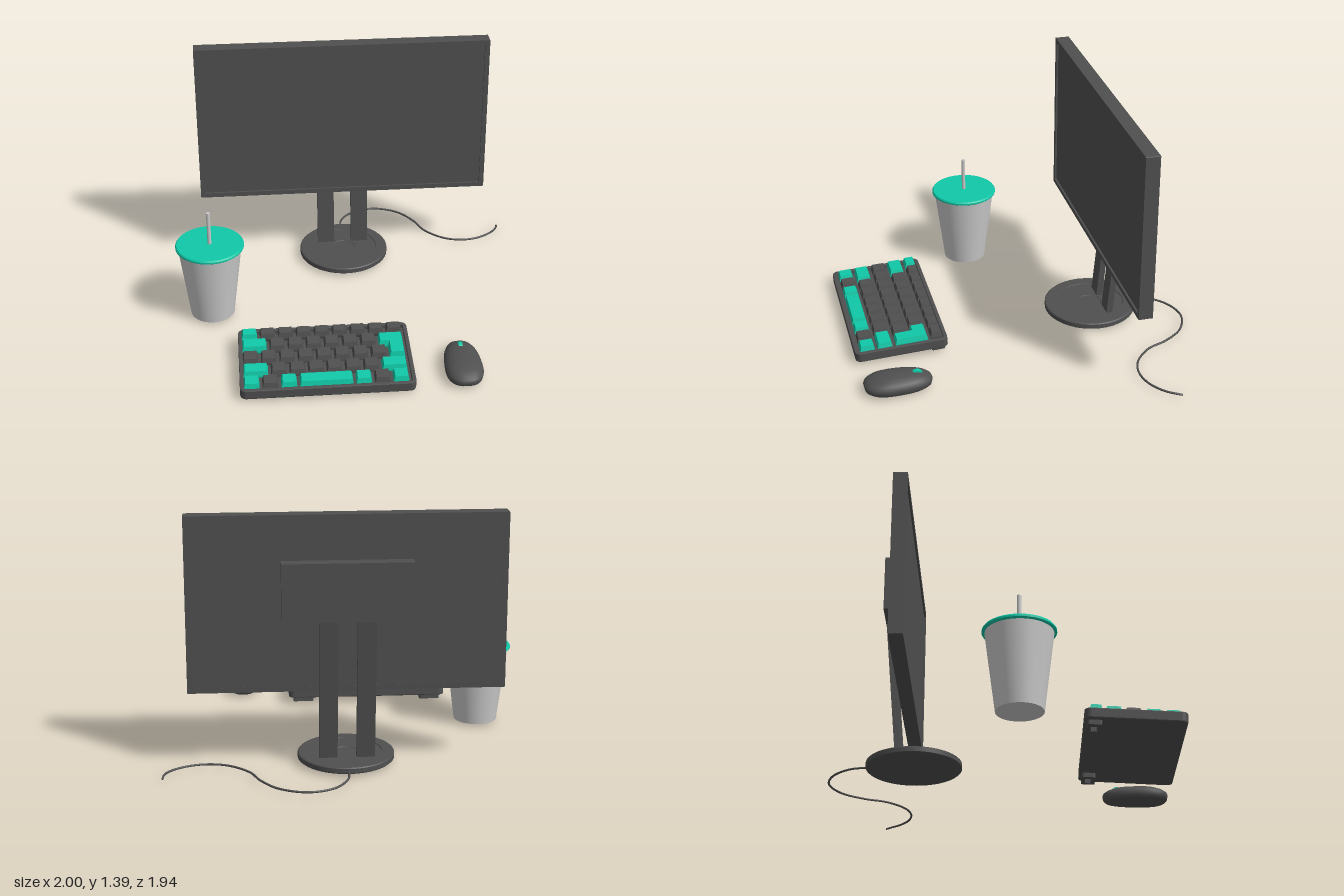
import * as THREE from 'three';
import { toCreasedNormals } from 'three/addons/utils/BufferGeometryUtils.js';

const grey = new THREE.MeshStandardMaterial({ color: 0xcccccc });
const dark = new THREE.MeshStandardMaterial({ color: 0x505050 });
const teal = new THREE.MeshStandardMaterial({ color: 0x10c9a8 });
const FLOOR = 0.016;

function add(parent, name, geometry, material, x = 0, y = 0, z = 0) {
  const mesh = new THREE.Mesh(geometry, material);
  mesh.name = name;
  mesh.position.set(x, y, z);
  parent.add(mesh);
  return mesh;
}

function lathe(points, segments = 64) {
  const profile = points.map(([r, y]) => new THREE.Vector2(r, y));
  return toCreasedNormals(new THREE.LatheGeometry(profile, segments), 0.5);
}

// Rectangle with rounded corners, centred on the origin
function roundedRect(w, h, r, Type = THREE.Shape) {
  const s = new Type();
  const x = w / 2 - r, y = h / 2 - r;
  s.absarc(x, y, r, 0, Math.PI / 2);
  s.absarc(-x, y, r, Math.PI / 2, Math.PI);
  s.absarc(-x, -y, r, Math.PI, Math.PI * 1.5);
  s.absarc(x, -y, r, Math.PI * 1.5, Math.PI * 2);
  s.closePath();
  return s;
}

// Extrude a plan shape (x, -z) upwards
function extrudeUp(shape, height, bevel = 0) {
  return new THREE.ExtrudeGeometry(shape, {
    depth: height - 2 * bevel, bevelEnabled: bevel > 0, bevelThickness: bevel,
    bevelSize: bevel, bevelOffset: -bevel, bevelSegments: 2, curveSegments: 6,
  }).translate(0, 0, bevel).rotateX(-Math.PI / 2);
}

function createMonitor() {
  const g = new THREE.Group();
  g.name = 'monitor';
  // Bezel with a recessed screen
  const frame = roundedRect(1.71, 0.965, 0.004);
  frame.holes.push(roundedRect(1.655, 0.91, 0.002, THREE.Path));
  add(g, 'bezel', new THREE.ExtrudeGeometry(frame, { depth: 0.08, bevelEnabled: false }), dark, 0, 0.9125, -0.565);
  add(g, 'screen', new THREE.BoxGeometry(1.66, 0.915, 0.068), dark, 0, 0.9125, -0.53);
  add(g, 'rearHousing', new THREE.BoxGeometry(0.7, 0.32, 0.08), dark, 0, 0.99, -0.6);
  // Two leaning legs
  for (const side of [-1, 1]) {
    const leg = new THREE.BoxGeometry(0.1, 0.8, 0.036).translate(0, 0.4, 0);
    const p = leg.attributes.position;
    for (let i = 0; i < p.count; i++) p.setZ(i, p.getZ(i) - 0.086 * p.getY(i));
    leg.computeVertexNormals();
    add(g, side > 0 ? 'leftLeg' : 'rightLeg', leg, dark, side * 0.102, 0.04, -0.552);
  }
  // Round foot with a shallow dish
  add(g, 'standBase', lathe([[0, 0], [0.258, 0], [0.265, 0.006], [0.265, 0.031], [0.26, 0.036], [0.2, 0.036],
    [0.198, 0.032], [0.07, 0.032], [0.068, 0.029], [0, 0.029]]), dark, 0, FLOOR, -0.475);
  // Cable trailing from the foot
  const path = [[0, 0.03, -0.72], [0.015, 0.024, -0.83], [0.09, 0.017, -0.925], [0.23, 0.016, -0.968],
    [0.38, 0.016, -0.91], [0.475, 0.016, -0.79], [0.53, 0.016, -0.67], [0.64, 0.016, -0.57],
    [0.75, 0.016, -0.54], [0.86, 0.016, -0.56], [0.95, 0.016, -0.62], [0.985, 0.014, -0.67], [0.993, 0.006, -0.705]];
  const curve = new THREE.CatmullRomCurve3(path.map((p) => new THREE.Vector3(...p)));
  add(g, 'cable', new THREE.TubeGeometry(curve, 120, 0.006, 8), dark);
  add(g, 'cableEnd', new THREE.SphereGeometry(0.006, 8, 6), dark, ...path.at(-1));
  return g;
}

// Tapered keycap from plan corners [x, z]; its lower half is sunk in the case
function keycap(corners, top) {
  const shape = new THREE.Shape(corners.map(([x, z]) => new THREE.Vector2(x, -z)));
  return new THREE.ExtrudeGeometry(shape, {
    depth: 0.01, bevelThickness: 0.03, bevelSize: 0.008, bevelOffset: -0.008, bevelSegments: 1,
  }).rotateX(-Math.PI / 2).translate(0, top - 0.04, 0);
}

function createKeyboard() {
  const g = new THREE.Group();
  g.name = 'keyboard';
  const w = 0.945, d = 0.53, cx = -0.195, front = 0.965, cz = front - d / 2;
  add(g, 'caseBottom', extrudeUp(roundedRect(w, d, 0.035), 0.035, 0.006), dark, cx, 0, -d / 2);
  const rim = roundedRect(w, d, 0.035);
  rim.holes.push(roundedRect(w - 0.045, d - 0.045, 0.01, THREE.Path));
  add(g, 'caseRim', extrudeUp(rim, 0.036, 0.004), dark, cx, 0.02, -d / 2);

  // Each row: near and far z, key top height, then [kind, width in units, colour]
  const T = teal, D = dark;
  const dots = (n) => Array(n).fill([1, D]);
  const rows = [
    [0.46, 0.527, 0.086, [[1, T], ...dots(8)]],
    [0.543, 0.628, 0.08, [[1.5, T], ...dots(6)]],
    [0.643, 0.728, 0.076, dots(8)],
    [0.748, 0.832, 0.074, [[1.5, T], ...dots(6), [1.5, T]]],
    [0.848, 0.932, 0.073, [[1, T], [1, D], [1, T], [3, T], [1, T], [1, D], [1, T]]],
  ];
  const pitch = 0.1005, gap = 0.016, left = -0.647;
  for (const [z0, z1, top, keys] of rows) {
    let x = left;
    for (const [units, material] of keys) {
      const a = x, b = x + units * pitch - gap;
      add(g, 'key', keycap([[a, z1], [b, z1], [b, z0], [a, z0]], top), material, 0, 0, -front);
      x += units * pitch;
    }
  }
  // L-shaped key spanning the second and third rows
  const r = left + 9 * pitch - gap, l = r - 1.5 * pitch + gap, m = r - pitch + gap;
  add(g, 'cornerKey', keycap([[m, 0.728], [r, 0.728], [r, 0.543], [l, 0.543], [l, 0.628], [m, 0.628]], 0.079),
    teal, 0, 0, -front);

  // Hollow rear feet
  for (const side of [-1, 1]) {
    const foot = roundedRect(0.12, 0.075, 0.01);
    foot.holes.push(roundedRect(0.08, 0.035, 0.006, THREE.Path));
    add(g, side > 0 ? 'leftFoot' : 'rightFoot', extrudeUp(foot, 0.032), dark,
      cx + side * 0.385, -0.026, 0.49 - front);
  }
  g.position.set(0, FLOOR, cz + d / 2);
  g.rotation.x = 0.055;
  return g;
}

function createMouse() {
  const g = new THREE.Group();
  g.name = 'mouse';
  // Stacked outlines: [scale, height], narrower towards the front
  const levels = [[0.001, 0], [0.9, 0], [0.97, 0.01], [1, 0.034], [0.97, 0.046], [0.87, 0.06],
    [0.7, 0.073], [0.45, 0.082], [0.2, 0.086], [0.001, 0.087]];
  const n = 48, positions = [], index = [];
  const power = (v) => Math.sign(v) * Math.abs(v) ** 0.8;
  levels.forEach(([s, y], j) => {
    for (let i = 0; i < n; i++) {
      const t = (i / n) * Math.PI * 2;
      const z = 0.19 * power(Math.cos(t)) * s;
      const x = 0.1 * power(Math.sin(t)) * s * (0.95 + 0.65 * z);
      positions.push(x * 1.08, y, z);
      if (j === 0) continue;
      const a = (j - 1) * n + i, b = (j - 1) * n + (i + 1) % n;
      index.push(a, b, b + n, a, b + n, a + n);
    }
  });
  const body = new THREE.BufferGeometry();
  body.setAttribute('position', new THREE.Float32BufferAttribute(positions, 3));
  body.setIndex(index);
  add(g, 'mouseBody', toCreasedNormals(body, 0.7), dark);
  // Scroll wheel
  const wheel = new THREE.CylinderGeometry(0.036, 0.036, 0.022, 24).rotateZ(Math.PI / 2);
  add(g, 'scrollWheel', wheel, teal, 0, 0.054, -0.104);
  g.position.set(0.553, FLOOR, 0.777);
  return g;
}

function createCup() {
  const g = new THREE.Group();
  g.name = 'cup';
  add(g, 'cupBody', lathe([[0, 0], [0.125, 0], [0.18, 0.438], [0, 0.438]]), grey);
  add(g, 'lid', lathe([[0, 0.434], [0.188, 0.434], [0.194, 0.439], [0.194, 0.448], [0.188, 0.456], [0, 0.456]]), teal);
  add(g, 'straw', new THREE.CylinderGeometry(0.011, 0.011, 0.6, 16), grey, 0, 0.354, 0);
  g.position.set(-0.806, FLOOR, 0.107);
  return g;
}

export function createModel() {
  const model = new THREE.Group();
  model.name = 'deskSet';
  model.add(createMonitor(), createKeyboard(), createMouse(), createCup());
  return model;
}
